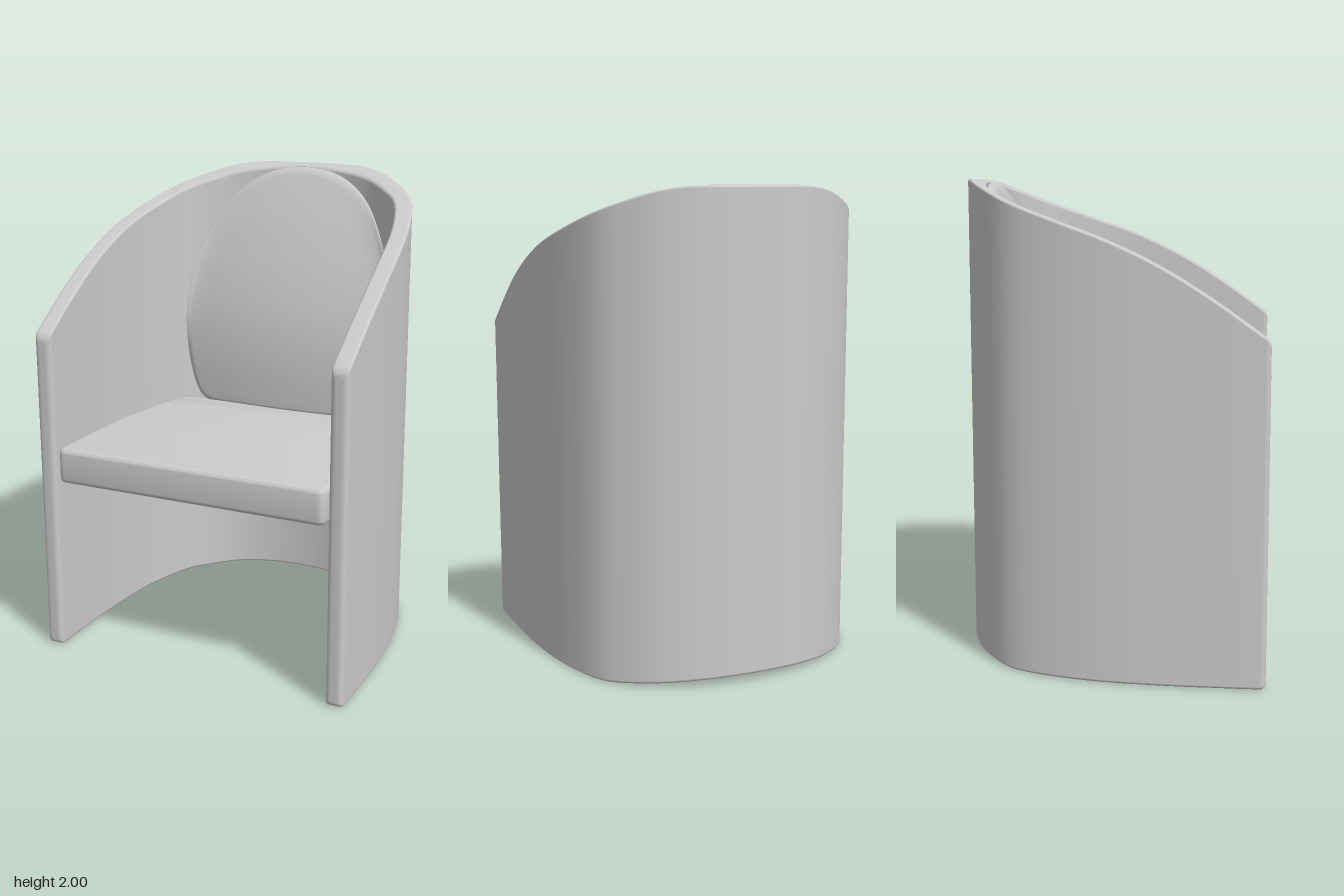
import * as THREE from 'three';
import { toCreasedNormals } from 'three/addons/utils/BufferGeometryUtils.js';

const material = new THREE.MeshStandardMaterial({ color: 0xcccccc });
const V2 = (p) => new THREE.Vector2(p[0], p[1]);

// Skin through closed rings (counter-clockwise seen from before the first ring), capped at both ends
function loft(rings) {
  const n = rings[0].length, pos = [], index = [];
  rings.forEach((ring) => ring.forEach((p) => pos.push(...p)));
  for (let i = 0; i < rings.length - 1; i++) {
    for (let j = 0; j < n; j++) {
      const k = (j + 1) % n;
      const a = i * n + j, b = i * n + k, c = b + n, d = a + n;
      index.push(a, d, c, a, c, b);
    }
  }
  [0, rings.length - 1].forEach((r) => {
    const centre = pos.length / 3;
    pos.push(...[0, 1, 2].map((q) => rings[r].reduce((s, p) => s + p[q], 0) / n));
    for (let j = 0; j < n; j++) {
      const a = r * n + j, b = r * n + (j + 1) % n;
      index.push(centre, ...(r === 0 ? [a, b] : [b, a]));
    }
  });
  const g = new THREE.BufferGeometry();
  g.setAttribute('position', new THREE.Float32BufferAttribute(pos, 3));
  g.setIndex(index);
  g.computeVertexNormals();
  return g;
}

// Smooth function through points with rising first coordinate
function smoothFunction(points) {
  const s = new THREE.SplineCurve(points.map(V2)).getPoints(120);
  return (t) => {
    if (t <= s[0].x) return s[0].y;
    for (let i = 1; i < s.length; i++) {
      if (t <= s[i].x) {
        return THREE.MathUtils.mapLinear(t, s[i - 1].x, s[i].x, s[i - 1].y, s[i].y);
      }
    }
    return s[s.length - 1].y;
  };
}

// Mirror a half outline across x = 0; the last point lies on the axis
const mirrored = (half) => [...half, ...half.slice(0, -1).reverse().map(([x, y]) => [-x, y])];

// Curved shell: a rounded wall section swept round a U-shaped plan
function shellGeometry() {
  const half = 0.0375, round = 0.022, corner = 0.012;
  const plan = new THREE.SplineCurve(mirrored([
    [0.693, 0.64], [0.693, 0.45], [0.69, 0.25], [0.672, 0], [0.63, -0.21], [0.56, -0.39],
    [0.447, -0.508], [0.332, -0.58], [0.17, -0.628], [0, -0.642],
  ]).map(V2));
  plan.arcLengthDivisions = 800;
  const top = smoothFunction([
    [-0.64, 2], [-0.6, 1.998], [-0.55, 1.977], [-0.4, 1.908], [-0.2, 1.835], [0, 1.763],
    [0.2, 1.67], [0.4, 1.55], [0.6, 1.41], [0.64, 1.38],
  ]);
  const bottom = (z) => 0.032 * THREE.MathUtils.clamp((-0.4 - z) / 0.24, 0, 1) ** 1.3;

  // Stations crowd at both ends, where the section shrinks to round the front edges
  const length = plan.getLength(), ends = [], stations = [];
  for (let k = 0; k <= 4; k++) {
    const a = (k / 4) * Math.PI / 2;
    ends.push([round * (1 - Math.cos(a)) / length, round * (1 - Math.sin(a))]);
  }
  stations.push(...ends);
  const u0 = round / length;
  for (let i = 1; i < 96; i++) stations.push([u0 + (1 - 2 * u0) * i / 96, 0]);
  stations.push(...ends.slice().reverse().map(([u, inset]) => [1 - u, inset]));

  return loft(stations.map(([u, inset]) => {
    const p = plan.getPointAt(u), t = plan.getTangentAt(u), ring = [];
    for (let q = 0; q < 4; q++) {
      const side = q === 0 || q === 3 ? 1 : -1, up = q < 2;
      for (let k = 0; k <= 3; k++) {
        const a = (q + k / 3) * Math.PI / 2;
        const o = side * (half - inset - corner) + corner * Math.cos(a) - half;
        const x = p.x - t.y * o, z = p.y + t.x * o;
        const y = up ? top(z) - inset - corner : bottom(z) + inset + corner;
        ring.push([x, y + corner * Math.sin(a), z]);
      }
    }
    return ring;
  }));
}

// Seat: flat slab following the inside of the shell, with rounded edges
function seatGeometry() {
  const bevel = 0.02, height = 0.15;
  const shape = new THREE.Shape();
  shape.moveTo(-0.57, -0.641);
  shape.lineTo(0.57, -0.641);
  shape.quadraticCurveTo(0.603, -0.641, 0.604, -0.6);
  shape.splineThru([[0.603, -0.3], [0.595, -0.12], [0.575, 0.04], [0.55, 0.17], [0.53, 0.26]].map(V2));
  shape.quadraticCurveTo(0.512, 0.322, 0.45, 0.325);
  shape.lineTo(-0.45, 0.325);
  shape.quadraticCurveTo(-0.512, 0.322, -0.53, 0.26);
  shape.splineThru([[-0.55, 0.17], [-0.575, 0.04], [-0.595, -0.12], [-0.603, -0.3], [-0.604, -0.6]].map(V2));
  shape.quadraticCurveTo(-0.603, -0.641, -0.57, -0.641);
  const g = new THREE.ExtrudeGeometry(shape, {
    depth: height - 2 * bevel, bevelThickness: bevel, bevelSize: bevel, bevelOffset: -bevel,
    bevelSegments: 4, curveSegments: 8,
  });
  g.rotateX(-Math.PI / 2);
  g.translate(0, 0.755 + bevel, 0);
  return toCreasedNormals(g, 0.6);
}

// Back cushion: leaning, bulged front; back follows the inside of the shell
function cushionGeometry() {
  const outline = new THREE.SplineCurve([...mirrored([
    [0, 0.885], [0.25, 0.885], [0.4, 0.89], [0.455, 0.94], [0.49, 1.08], [0.504, 1.27],
    [0.492, 1.44], [0.46, 1.6], [0.375, 1.785], [0.28, 1.895], [0.15, 1.965], [0, 1.986],
  ])].map(V2)).getSpacedPoints(96).slice(0, -1);
  const lean = smoothFunction([
    [0.88, -0.295], [1.1, -0.289], [1.3, -0.305], [1.5, -0.35], [1.7, -0.415], [1.85, -0.475], [1.99, -0.54],
  ]);
  const back = (x) => -0.568 + 0.5 * x * x + 1.56 * x ** 4;
  const front = (x, y) => {
    const b = back(x) + 0.006, d = lean(y) - 0.17 * x * x - b;
    return b + (d + Math.hypot(d, 0.03)) / 2;
  };
  const cy = 1.4;
  const ring = (s, zAt) => outline.map((p) => {
    const x = p.x * s, y = cy + (p.y - cy) * s;
    return [x, y, zAt(x, y)];
  });
  const rings = [];
  for (let i = 1; i <= 14; i++) rings.push(ring(0.94 * i / 14, front));
  // Rounded rim
  for (let k = 1; k <= 6; k++) {
    const a = (k / 6) * Math.PI / 2;
    rings.push(ring(0.94 + 0.06 * Math.sin(a), (x, y) => {
      const f = front(x, y), r = Math.min(0.05, (f - back(x)) * 0.6);
      return f - r * (1 - Math.cos(a));
    }));
  }
  for (let i = 12; i >= 1; i--) rings.push(ring(i / 12, (x) => back(x)));
  return loft(rings);
}

export function createModel() {
  const chair = new THREE.Group();
  chair.name = 'tubChair';
  const parts = { shell: shellGeometry(), seat: seatGeometry(), backCushion: cushionGeometry() };
  for (const [name, geometry] of Object.entries(parts)) {
    const mesh = new THREE.Mesh(geometry, material);
    mesh.name = name;
    chair.add(mesh);
  }
  return chair;
}
